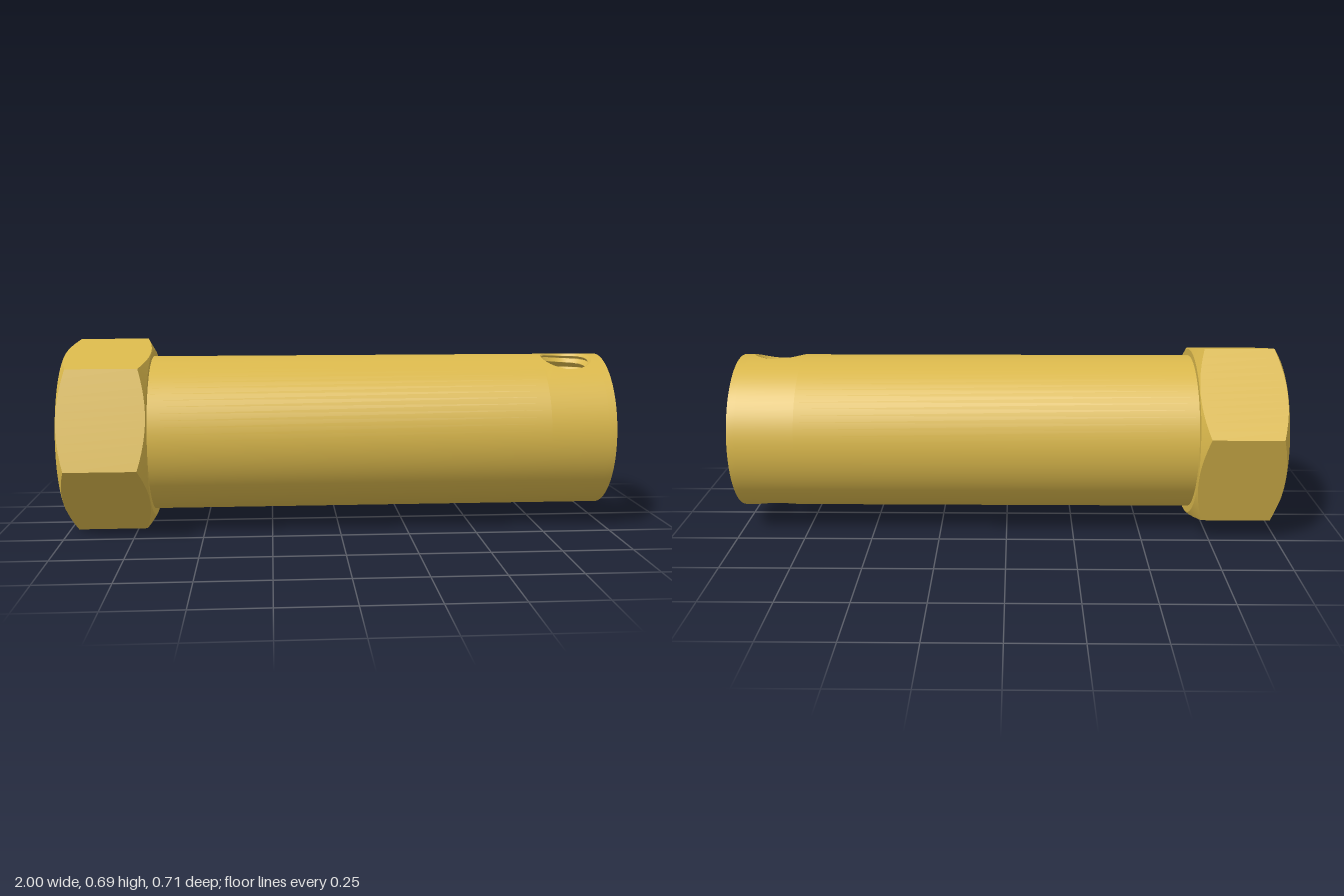
import * as THREE from 'three';
import { mergeGeometries, toCreasedNormals } from 'three/addons/utils/BufferGeometryUtils.js';

const CY = 0.347;                              // height of the long axis
const TILT = THREE.MathUtils.degToRad(12.4);   // roll of hexagon and cross holes
const N = 72, STEP = Math.PI * 2 / N;
const OUTER = 0.288, BORE = 0.185, FLOOR = -0.55, HEAD_END = -0.688;
const HOLE_X = 0.866, HOLE_W = 0.105;          // cross hole centre, half size of its patch
const lerp = THREE.MathUtils.lerp;

// Grid of quads; fn(i, j) gives a point [x, y, z]
function grid(ni, nj, fn) {
  const pos = [], index = [], w = ni + 1;
  for (let j = 0; j <= nj; j++) for (let i = 0; i <= ni; i++) pos.push(...fn(i, j));
  for (let j = 0; j < nj; j++) for (let i = 0; i < ni; i++) {
    const a = j * w + i;
    index.push(a, a + 1, a + w, a + 1, a + w + 1, a + w);
  }
  const g = new THREE.BufferGeometry();
  g.setAttribute('position', new THREE.Float32BufferAttribute(pos, 3));
  g.setIndex(index);
  return g;
}

const polar = (x, r, th) => [x, CY + r * Math.cos(th), r * Math.sin(th)];

// Surface round the long axis; rows are [x, radius or radius(i)], i0..i1 are angular steps
function turned(rows, i0 = 0, i1 = N) {
  return grid(i1 - i0, rows.length - 1, (i, j) => {
    const row = typeof rows[j] === 'function' ? rows[j](i + i0) : rows[j];
    return polar(row[0], row[1], TILT + (i + i0) * STEP);
  });
}

// Triangular thread wave, 0 at the crest and 1 at the root
const wave = (t) => Math.abs(2 * (t - Math.floor(t)) - 1);

// Chamfered hexagon, starting at the back rim of its threaded hole
function headGeometry() {
  const apothem = 0.3148, c = 0.312, slope = 0.577;
  const side = (end, dir) => (i) => {
    const k = (((i + 6) % 12) - 6) * STEP;
    const r = apothem / Math.cos(k);
    return [end + dir * (r - c) * slope, r];
  };
  return turned([[-1, 0.13], [-1, c], side(-1, 1), side(HEAD_END, -1), [HEAD_END, c], [HEAD_END, OUTER - 0.002]]);
}

// Helical thread from the bore floor back to the rear face
function threadGeometry() {
  const minor = 0.105, major = 0.127, pitch = 0.0445, n = 120;
  const rows = [() => [FLOOR, BORE]];
  for (let j = 0; j <= n; j++) {
    const x = lerp(FLOOR, -1, j / n);
    rows.push((i) => [x, Math.max(
      lerp(minor, major, wave(x / pitch + i / N)),
      0.13 - (x + 1), // lead-in chamfer
    )]);
    if (j === n) rows[rows.length - 1] = [-1, 0.13];
  }
  return turned(rows);
}

// Tapped cross hole: outer wall patch, threaded side, inner wall patch
function crossHole(angle) {
  const M = 4, T = 48, n = 48;
  const minor = 0.0795, major = 0.095, pitch = 0.032;
  const square = (i) => { // runs round the square, -1..1 on each side
    const s = Math.floor(i / 12) % 4, f = (i % 12) / 6 - 1;
    return [[1, f], [-f, 1], [-1, -f], [f, -1]][s];
  };
  const hole = (i, s) => {
    const phi = i / n * Math.PI * 2 - Math.PI / 4;
    const depth = s * (OUTER - BORE);
    const r = s === 0 ? major : Math.max(
      lerp(minor, major, wave(depth / pitch + phi / (Math.PI * 2))), major - depth);
    return [r * Math.cos(phi), HOLE_X + r * Math.sin(phi)];
  };
  const patch = (i, R, s, f) => { // f: 0 at the square edge, 1 at the hole
    const [sa, sx] = square(i), [lat, x] = hole(i, s);
    const th = lerp(sa * 6 * STEP, Math.asin(lat / R), f);
    return polar(lerp(HOLE_X + sx * HOLE_W, x, f), R, angle + th);
  };
  return grid(n, 2 * M + T, (i, j) => {
    if (j <= M) return patch(i, OUTER, 0, j / M);
    if (j >= M + T) return patch(i, BORE, 1, 1 - (j - M - T) / M);
    const s = (j - M) / T, [lat, x] = hole(i, s);
    const d = lerp(Math.sqrt(OUTER ** 2 - lat ** 2), Math.sqrt(BORE ** 2 - lat ** 2), s);
    return polar(x, Math.hypot(d, lat), angle + Math.atan2(lat, d));
  });
}

// Hollow shaft: plain walls before, between and after the two cross holes
function shaftGeometry() {
  const x0 = HOLE_X - HOLE_W, x1 = HOLE_X + HOLE_W;
  const parts = [
    turned([[HEAD_END, OUTER], [x0, OUTER]]),
    turned([[x1, OUTER], [1, OUTER], [1, BORE], [x1, BORE]]),
    turned([[x0, BORE], [FLOOR, BORE]]),
  ];
  for (const k of [0, 36]) {
    parts.push(turned([[x0, OUTER], [x1, OUTER]], k + 6, k + 30));
    parts.push(turned([[x1, BORE], [x0, BORE]], k + 6, k + 30));
    parts.push(crossHole(TILT + k * STEP));
  }
  return mergeGeometries(parts);
}

export function createModel() {
  const group = new THREE.Group();
  group.name = 'hexCoupling';
  const brass = new THREE.MeshStandardMaterial({ color: 0xdab84c });
  brass.name = 'brass';
  const add = (name, geometry) => {
    const mesh = new THREE.Mesh(toCreasedNormals(geometry, 0.35), brass);
    mesh.name = name;
    group.add(mesh);
  };
  add('hexHead', headGeometry());
  add('shaft', shaftGeometry());
  add('headThread', threadGeometry());
  return group;
}
